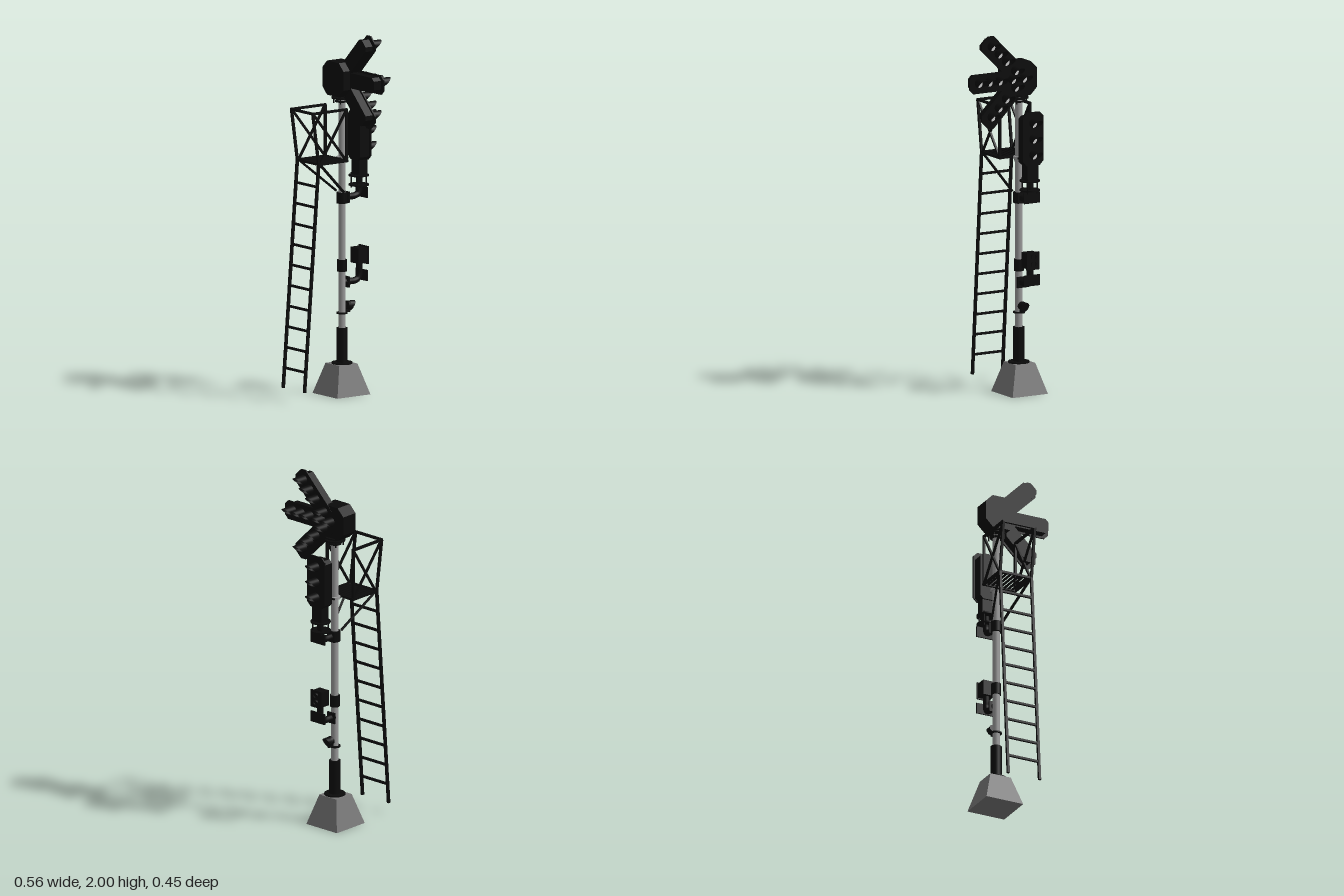
import * as THREE from 'three';

const PX = 0.053, PZ = -0.108; // pole axis
const mat = (color, side = THREE.FrontSide) => new THREE.MeshStandardMaterial({ color, side });
const black = mat(0x0b0b0b), hoodMat = mat(0x0b0b0b, THREE.DoubleSide);
const steel = mat(0x999999), concrete = mat(0x777777), glass = mat(0xcccccc);
const V = (x, y, z) => new THREE.Vector3(x, y, z);

export function createModel() {
  const root = new THREE.Group();

  const group = (name) => {
    const g = new THREE.Group();
    g.name = name;
    root.add(g);
    return g;
  };
  const add = (parent, name, geo, m, x = 0, y = 0, z = 0) => {
    const mesh = new THREE.Mesh(geo, m);
    mesh.name = name;
    mesh.position.set(x, y, z);
    parent.add(mesh);
    return mesh;
  };
  const box = (p, name, w, h, d, x, y, z) => add(p, name, new THREE.BoxGeometry(w, h, d), black, x, y, z);
  const ring = (p, name, r, y0, y1, x = PX, m = black) =>
    add(p, name, new THREE.CylinderGeometry(r, r, y1 - y0, 24), m, x, (y0 + y1) / 2, PZ);
  // Square bar between two points
  const bar = (p, name, a, b, t = 0.013) => {
    const d = b.clone().sub(a);
    const mesh = add(p, name, new THREE.BoxGeometry(t, d.length(), t), black);
    mesh.position.copy(a).add(b).multiplyScalar(0.5);
    mesh.quaternion.setFromUnitVectors(V(0, 1, 0), d.normalize());
  };
  // Plate with cut corners in the y-z plane, z from a to b, thickened along +x
  const cutPlate = (a, b, h, c, depth) => {
    const s = new THREE.Shape([[-b, -h + c], [-b + c, -h], [-a - c, -h], [-a, -h + c],
      [-a, h - c], [-a - c, h], [-b + c, h], [-b, h - c]].map(([u, v]) => new THREE.Vector2(u, v)));
    return new THREE.ExtrudeGeometry(s, { depth, bevelEnabled: false }).rotateY(Math.PI / 2);
  };
  // Lens with a hood, longest at the top
  const hoodGeo = new THREE.CylinderGeometry(0.026, 0.026, 1, 20, 1, true).rotateZ(-Math.PI / 2);
  const hp = hoodGeo.attributes.position;
  for (let i = 0; i < hp.count; i++) {
    const k = THREE.MathUtils.clamp((hp.getY(i) / 0.026 + 1) / 2, 0, 1);
    hp.setX(i, hp.getX(i) < 0 ? 0 : 0.012 + 0.066 * Math.pow(k, 0.8));
  }
  hoodGeo.computeVertexNormals();
  hoodGeo.computeBoundingBox();
  hoodGeo.computeBoundingSphere();
  const lensGeo = new THREE.CylinderGeometry(0.019, 0.019, 0.008, 20).rotateZ(-Math.PI / 2);
  const lamp = (p, x, y, z) => {
    add(p, 'lens', lensGeo, glass, x + 0.003, y, z);
    add(p, 'lampHood', hoodGeo, hoodMat, x, y + 0.006, z);
  };
  // Elbow pipe from the pole out and up
  const elbow = (p, y, top) => {
    const path = new THREE.CatmullRomCurve3([V(PX, y, PZ), V(0.1, y, PZ), V(0.135, y, PZ),
      V(0.16, y + 0.01, PZ), V(0.17, y + 0.035, PZ), V(0.17, y + 0.06, PZ), V(0.17, top, PZ)]);
    add(p, 'elbowPipe', new THREE.TubeGeometry(path, 30, 0.018, 14), black);
    box(p, 'elbowFlange', 0.012, 0.06, 0.055, 0.082, y, PZ);
  };

  // Concrete foot: four-sided frustum
  const foot = new THREE.CylinderGeometry(0.062 * Math.SQRT2, 0.112 * Math.SQRT2, 0.168, 4, 1)
    .rotateY(Math.PI / 4).toNonIndexed();
  foot.computeVertexNormals();
  add(root, 'foundation', foot, concrete, PX, 0.084, -0.113);

  // Pole with sleeves and collars
  const pole = group('pole');
  ring(pole, 'post', 0.02, 0.16, 1.66, PX, steel);
  ring(pole, 'footFlange', 0.058, 0.166, 0.176);
  ring(pole, 'footSleeve', 0.031, 0.17, 0.365);
  ring(pole, 'middleCollar', 0.027, 0.675, 0.74);
  ring(pole, 'armCollar', 0.03, 1.05, 1.11);
  ring(pole, 'lampClamp', 0.031, 0.442, 0.45);
  ring(pole, 'platformClamp', 0.03, 1.294, 1.308, PX, steel);

  // Small lamp on the lower pole
  const marker = group('markerLamp');
  box(marker, 'markerBracket', 0.04, 0.05, 0.014, 0.085, 0.472, PZ);
  add(marker, 'markerBarrel', new THREE.CylinderGeometry(0.024, 0.024, 0.035, 18).rotateZ(-Math.PI / 2 - 0.25),
    black, 0.098, 0.483, PZ);
  add(marker, 'markerHood', hoodGeo, hoodMat, 0.1, 0.485, PZ).scale.set(0.45, 0.9, 0.9);

  // Lower box signal on its elbow
  const lower = group('lowerSignal');
  elbow(lower, 0.615, 0.72);
  box(lower, 'elbowPlate', 0.008, 0.06, 0.1, 0.188, 0.643, PZ);
  box(lower, 'housing', 0.06, 0.085, 0.07, 0.167, 0.753, PZ);
  box(lower, 'facePlate', 0.008, 0.098, 0.082, 0.2, 0.753, PZ);
  for (const y of [0.735, 0.775]) add(lower, 'smallHood', hoodGeo, hoodMat, 0.203, y, PZ).scale.set(0.15, 0.6, 0.6);

  // Three-lamp signal
  const three = group('threeLampSignal');
  elbow(three, 1.082, 1.22);
  box(three, 'elbowPlate', 0.008, 0.06, 0.1, 0.188, 1.1, PZ);
  for (const y of [1.14, 1.192]) ring(three, 'mountFlange', 0.055, y - 0.004, y + 0.004, 0.167);
  for (let i = 0; i < 4; i++) {
    const a = Math.PI / 4 + i * Math.PI / 2;
    add(three, 'mountBolt', new THREE.CylinderGeometry(0.004, 0.004, 0.085, 8), black,
      0.167 + 0.042 * Math.cos(a), 1.165, PZ + 0.042 * Math.sin(a));
  }
  box(three, 'neck', 0.055, 0.1, 0.07, 0.172, 1.245, PZ);
  add(three, 'housing', cutPlate(-0.135, 0.135, 0.053, 0.018, 0.065), black, 0.135, 1.415, PZ).rotation.x = Math.PI / 2;
  add(three, 'backPlate', cutPlate(-0.148, 0.148, 0.064, 0.024, 0.008), black, 0.197, 1.428, PZ).rotation.x = Math.PI / 2;
  for (const y of [1.335, 1.422, 1.51]) lamp(three, 0.204, y, PZ);

  // Route indicator: hub with three arms of lamps
  const route = group('routeIndicator');
  const HY = 1.74;
  for (const y of [1.612, 1.632, 1.648]) ring(route, 'hubFlange', y < 1.62 ? 0.035 : 0.055, y - 0.004, y + 0.004, 0.05);
  for (let i = 0; i < 4; i++) {
    const a = Math.PI / 4 + i * Math.PI / 2;
    add(route, 'hubBolt', new THREE.CylinderGeometry(0.004, 0.004, 0.06, 8), black,
      0.05 + 0.043 * Math.cos(a), 1.63, PZ + 0.043 * Math.sin(a));
  }
  add(route, 'hub', cutPlate(-0.095, 0.095, 0.094, 0.042, 0.098), black, -0.009, HY, PZ);
  for (const angle of [-Math.PI / 4, 0, Math.PI / 4]) {
    add(route, 'armHousing', cutPlate(0, 0.31, 0.042, 0.018, 0.05), black, 0.034, HY, PZ).rotation.x = angle;
    add(route, 'armPlate', cutPlate(0, 0.333, 0.053, 0.024, 0.008), black, 0.082, HY, PZ).rotation.x = angle;
    for (const u of [0.064, 0.147, 0.211, 0.275])
      lamp(route, 0.09, HY - u * Math.sin(angle), PZ + u * Math.cos(angle));
  }
  lamp(route, 0.09, HY, -0.114);

  // Platform and cage
  const platform = group('platform');
  const sides = [-0.204, -0.013];
  const FY = 1.3, TY = 1.583;
  for (const z of sides) {
    bar(platform, 'floorBeam', V(-0.18, FY, z), V(0.02, FY, z));
    bar(platform, 'topRail', V(-0.222, TY, z), V(0.016, TY, z));
    bar(platform, 'outerPost', V(-0.178, FY, z), V(-0.218, TY, z));
    bar(platform, 'innerPost', V(0.011, FY, z), V(0.011, TY, z));
    bar(platform, 'crossBrace', V(-0.17, FY, z), V(0.011, TY, z), 0.011);
    bar(platform, 'crossBrace', V(-0.216, TY, z), V(0.011, FY, z), 0.011);
    bar(platform, 'underBrace', V(-0.17, FY, z), V(0.04, 1.115, PZ + (z - PZ) * 0.35), 0.011);
  }
  bar(platform, 'ladderSideRail', V(-0.218, TY, sides[0]), V(-0.218, TY, sides[1]));
  for (const x of [-0.175, 0.011]) bar(platform, 'floorEnd', V(x, FY, sides[0]), V(x, FY, sides[1]));
  for (let i = 0; i < 7; i++) box(platform, 'floorSlat', 0.19, 0.008, 0.011, -0.083, FY, -0.181 + i * 0.0243);
  box(platform, 'poleBracket', 0.075, 0.01, 0.04, 0.045, FY, PZ);

  // Ladder
  const ladder = group('ladder');
  const xAt = (y) => THREE.MathUtils.mapLinear(y, 0.055, FY, -0.274, -0.178);
  for (const z of sides) bar(ladder, 'ladderRail', V(xAt(0.055), 0.055, z), V(xAt(FY), FY, z), 0.014);
  for (let i = 0; i < 10; i++) {
    const y = 0.165 + i * 0.1125;
    bar(ladder, 'rung', V(xAt(y), y, sides[0]), V(xAt(y), y, sides[1]), 0.012);
  }
  return root;
}
